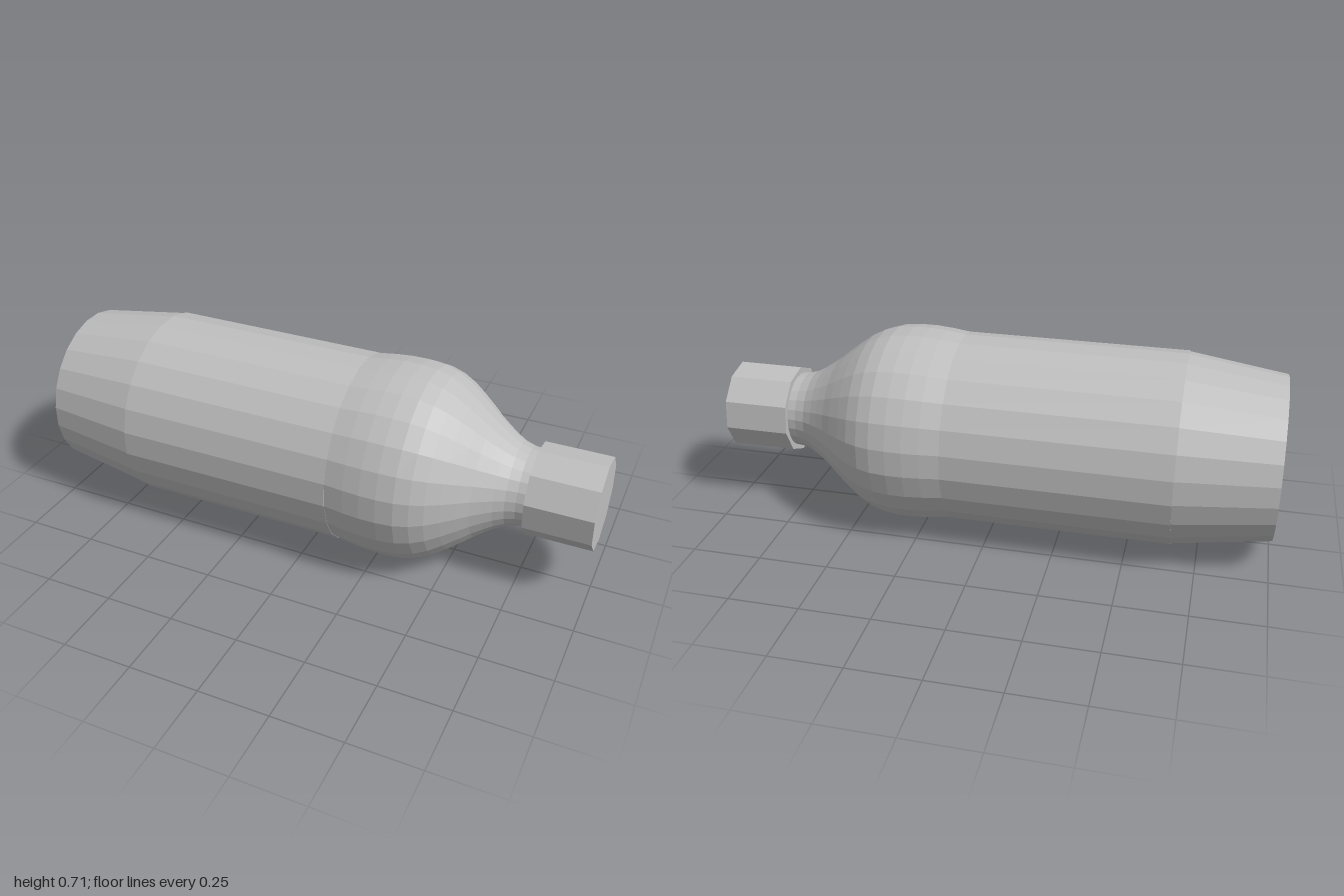
import * as THREE from 'three';

const SIDES = 24;
const STEP = Math.PI / SIDES;
const AXIS_Y = 0.354;

export function createModel() {
  const model = new THREE.Group();
  model.name = 'bottle';
  const grey = new THREE.MeshStandardMaterial({ color: 0xbfbfbf, flatShading: true });
  grey.name = 'grey';

  // Lays an upright part down along x
  function add(name, geometry) {
    geometry.rotateZ(-Math.PI / 2).translate(0, AXIS_Y, 0);
    const mesh = new THREE.Mesh(geometry, grey);
    mesh.name = name;
    model.add(mesh);
  }

  // Revolves [position along x, distance from axis to flat side]
  function turned(name, profile) {
    const points = profile.map(([x, r]) => new THREE.Vector2(r / Math.cos(STEP), x));
    add(name, new THREE.LatheGeometry(points, SIDES, STEP));
  }

  // Tapered bottom with closed end
  turned('base', [[-1, 0], [-1, 0.288], [-0.66, 0.337], [-0.66, 0]]);

  // Straight barrel, slightly proud of the base
  turned('barrel', [[-0.66, 0], [-0.66, 0.34], [0.13, 0.34], [0.13, 0]]);

  // Bulging shoulder that narrows into the neck
  turned('shoulder', [
    [0.13, 0.339], [0.2, 0.348], [0.26, 0.353], [0.32, 0.353], [0.38, 0.347],
    [0.43, 0.332], [0.475, 0.309], [0.52, 0.277], [0.565, 0.242], [0.6, 0.213],
    [0.635, 0.188], [0.665, 0.168], [0.7, 0.149], [0.735, 0.139], [0.78, 0.135],
  ]);

  // Ten-sided cap
  add('cap', new THREE.CylinderGeometry(0.162, 0.162, 0.235, 10, 1, false,
    THREE.MathUtils.degToRad(-83)).translate(0, 0.8825, 0));

  return model;
}
